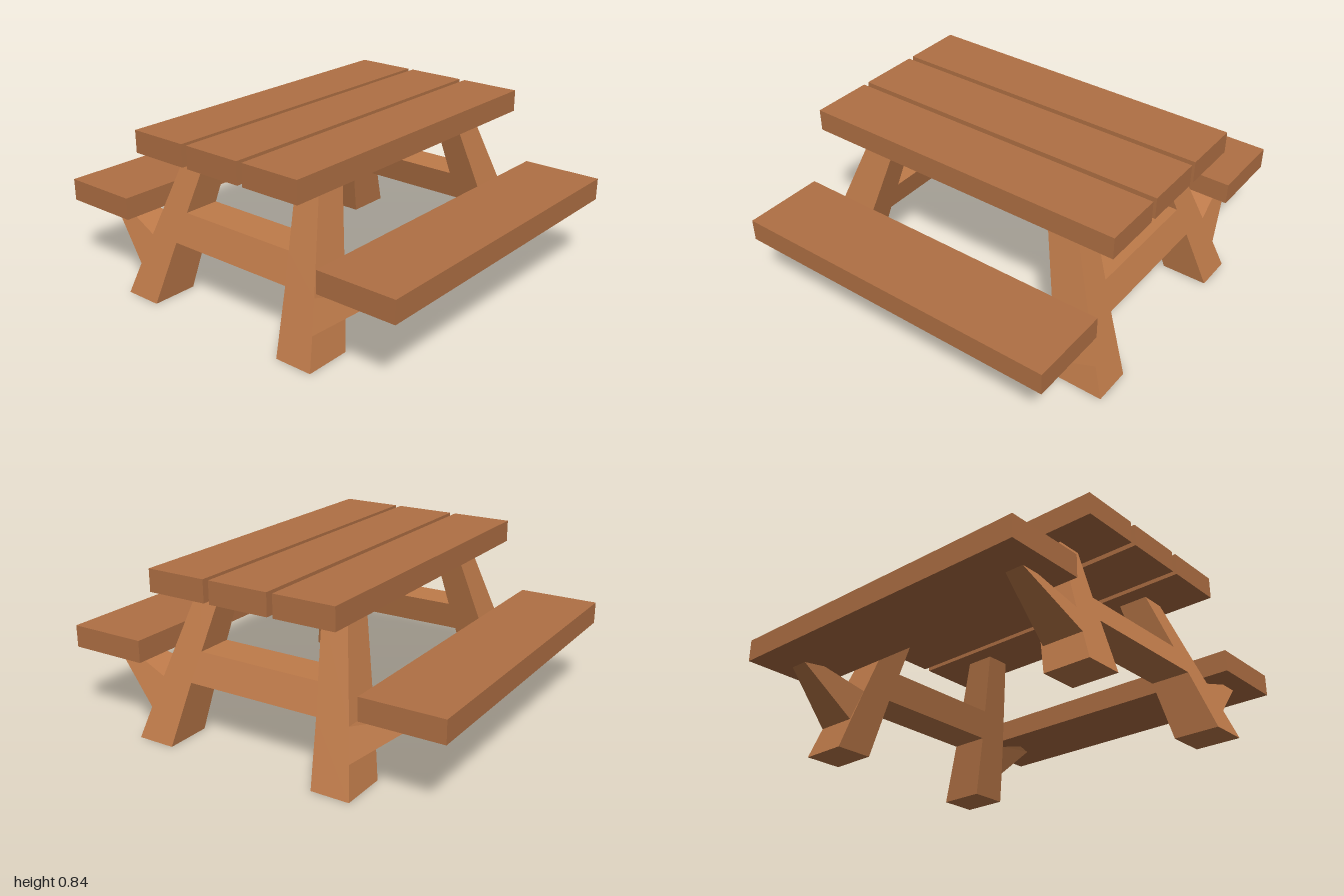
import * as THREE from 'three';

const plankWood = new THREE.MeshStandardMaterial({ color: 0xb07044 });
plankWood.name = 'plank wood';
const frameWood = new THREE.MeshStandardMaterial({ color: 0xbf7b4a });
frameWood.name = 'frame wood';

// Horizontal board running the whole length of the table
function plank(name, bottom, z, depth) {
  const mesh = new THREE.Mesh(new THREE.BoxGeometry(1.68, 0.11, depth), plankWood);
  mesh.name = name;
  mesh.position.set(0, bottom + 0.055, z);
  return mesh;
}

// Extrudes a (z, y) outline and leans it: the inner and outer faces slope inwards with height
function leaningPart(name, outline, taper = 0) {
  const shape = new THREE.Shape(outline.map(([z, y]) => new THREE.Vector2(z, y)));
  const geometry = new THREE.ExtrudeGeometry(shape, { depth: 1, bevelEnabled: false });
  const p = geometry.attributes.position;
  for (let i = 0; i < p.count; i++) {
    const z = p.getX(i), y = p.getY(i), d = p.getZ(i);
    const inner = 0.64 - 0.267 * y + taper * Math.max(0, Math.abs(z) - 0.52);
    const outer = 0.875 - 0.377 * y;
    p.setXYZ(i, -THREE.MathUtils.lerp(inner, outer, d), y, z);
  }
  geometry.computeVertexNormals();
  const mesh = new THREE.Mesh(geometry, frameWood);
  mesh.name = name;
  return mesh;
}

// One end of the table: two splayed legs with a crossbar, and two seat brackets
function endFrame() {
  const frame = new THREE.Group();
  const half = [
    [0.348, 0.293], [0.39, 0], [0.583, 0], [0.55, 0.145],
    [0.515, 0.29], [0.403, 0.73], [0.273, 0.73], [0.323, 0.435],
  ];
  const mirrored = half.map(([z, y]) => [-z, y]).reverse();
  frame.add(leaningPart('legsAndCrossbar', [...half, ...mirrored]));

  const bracket = [[0.55, 0.145], [0.828, 0.368], [0.737, 0.368], [0.515, 0.29]];
  for (const s of [1, -1]) {
    frame.add(leaningPart('seatBracket', bracket.map(([z, y]) => [s * z, y]), 0.335));
  }
  return frame;
}

export function createModel() {
  const table = new THREE.Group();
  table.name = 'picnicTable';

  // Table top
  for (const i of [-1, 0, 1]) table.add(plank('topPlank', 0.73, 0.005 + i * 0.34, 0.31));

  // Benches
  for (const s of [1, -1]) table.add(plank('benchPlank', 0.365, s * 0.798, 0.404));

  // End frames, the second turned to face the other way
  for (const [name, turn] of [['rightFrame', 0], ['leftFrame', Math.PI]]) {
    const frame = endFrame();
    frame.name = name;
    frame.rotation.y = turn;
    frame.position.z = 0.006;
    table.add(frame);
  }
  return table;
}
